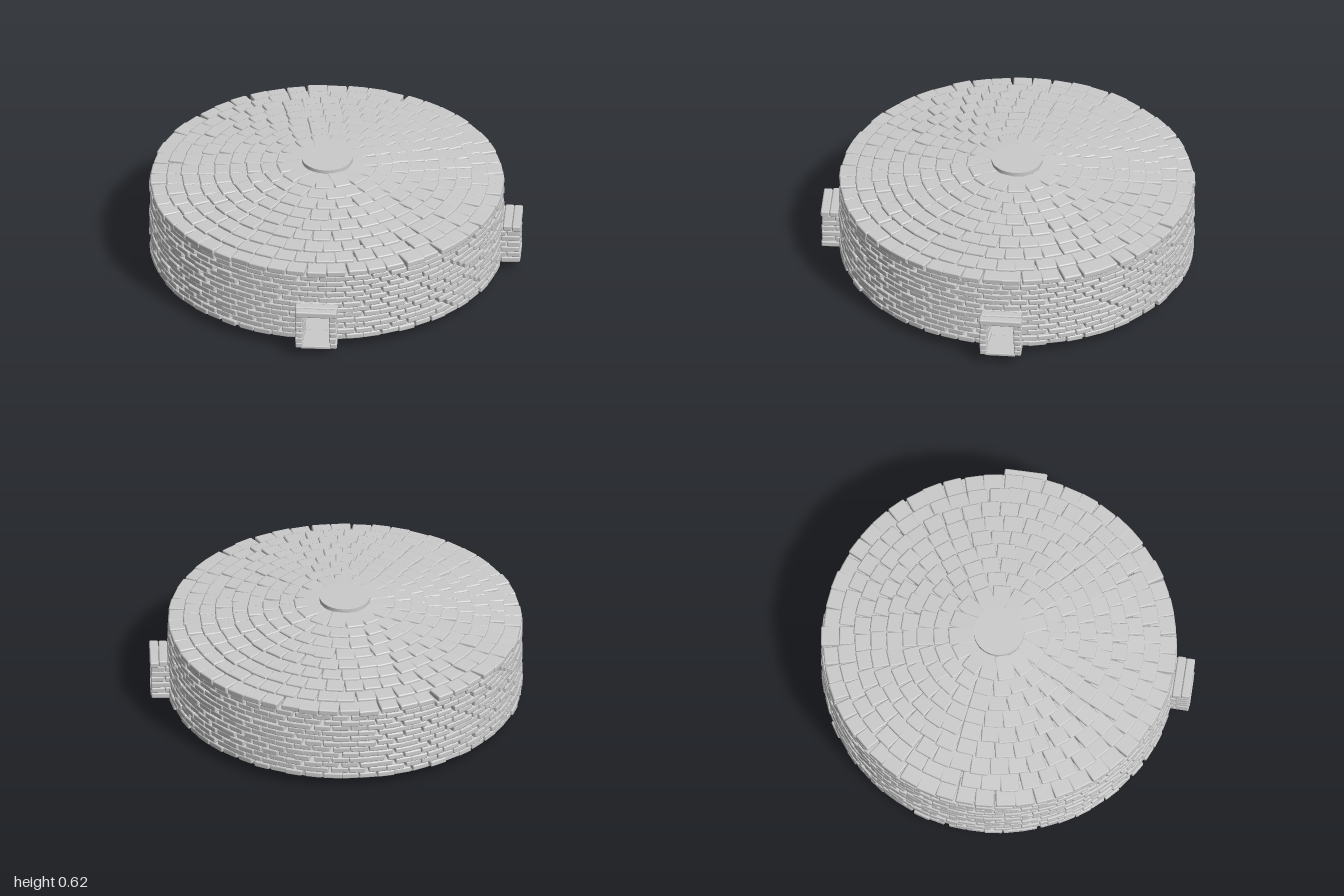
import * as THREE from 'three';
import { mergeGeometries } from 'three/addons/utils/BufferGeometryUtils.js';
import { RoundedBoxGeometry } from 'three/addons/geometries/RoundedBoxGeometry.js';

const RADIUS = 0.95, BASE_Y = 0.06, COURSE = 0.033, WALL_DEPTH = 0.085;
const DOORS = [0, Math.PI / 2];          // angle 0 faces +z
const DOOR_COURSES = 6, DOOR_HALF = 0.07;

export function createModel() {
  const model = new THREE.Group();
  model.name = 'stoneRoundhouse';
  const material = new THREE.MeshStandardMaterial({ color: 0xcccccc });

  let seed = 7;
  const jitter = (amount) => {
    seed = (seed * 16807) % 2147483647;
    return (seed / 2147483647 - 0.5) * 2 * amount;
  };

  const add = (name, geometry, parent = model) => {
    const mesh = new THREE.Mesh(geometry, material);
    mesh.name = name;
    parent.add(mesh);
    return mesh;
  };

  // Worn stone block: w along the wall, h up, d towards the centre
  const stone = (w, h, d, { angle = 0, offset = 0, y, r, twist = 0.02, tilt = 0 }) =>
    new RoundedBoxGeometry(w, h, d, 1, Math.min(w, h, d) * 0.22)
      .rotateX(tilt + jitter(twist))
      .rotateY(jitter(twist))
      .rotateZ(jitter(twist))
      .translate(offset, y, r)
      .rotateY(angle);

  // Circular wall in staggered courses, cut back at the doorways
  const wall = [];
  const count = 60, step = (Math.PI * 2) / count;
  for (let row = 0; row < 12; row++) {
    for (let i = 0; i < count; i++) {
      let angle = (i + (row % 2) / 2 + jitter(0.1)) * step;
      let half = step * (0.47 + jitter(0.04));
      if (row < DOOR_COURSES) {
        for (const door of DOORS) {
          const delta = Math.atan2(Math.sin(angle - door), Math.cos(angle - door));
          const inner = Math.max(Math.abs(delta) - half, DOOR_HALF / RADIUS);
          const outer = Math.abs(delta) + half;
          if (inner > Math.abs(delta) - half) {
            half = (outer - inner) / 2;
            angle = door + Math.sign(delta) * (inner + outer) / 2;
          }
        }
      }
      if (half < 0.008) continue;
      wall.push(stone(half * 2 * RADIUS, COURSE * 0.95, WALL_DEPTH, {
        angle, y: BASE_Y + (row + 0.5) * COURSE, r: RADIUS - WALL_DEPTH / 2 - 0.004 + jitter(0.005),
      }));
    }
  }
  add('wall', mergeGeometries(wall));

  // Corbelled roof: overlapping rings stepping up to the middle
  const roof = [];
  for (let ring = 0; ring < 9; ring++) {
    const outer = RADIUS - ring * 0.085, depth = 0.14;
    const top = 0.488 + ring * 0.0165 - ring * ring * 0.00035;
    const n = Math.round((Math.PI * 2 * outer) / 0.11);
    for (let i = 0; i < n; i++) {
      const pitch = (Math.PI * 2 * (outer - 0.035)) / n;
      roof.push(stone(pitch * (0.97 + jitter(0.06)), 0.035, depth, {
        angle: ((i + ring * 0.37 + jitter(0.07)) / n) * Math.PI * 2,
        y: top - 0.0175 + jitter(0.0015),
        r: outer - depth / 2 - 0.004 + jitter(0.006), twist: 0.015, tilt: 0.03,
      }));
    }
  }
  add('roofStones', mergeGeometries(roof));
  add('capStone', new THREE.CylinderGeometry(0.135, 0.135, 0.026, 40).translate(0, 0.607, 0));

  // Floor slab
  add('floor', new THREE.CylinderGeometry(0.89, 0.89, 0.035, 64).translate(0, 0.0475, 0));

  // Projecting doorways: coursed jambs, a sill and lintel beams
  for (const door of DOORS) {
    const porch = new THREE.Group();
    porch.name = door ? 'leftDoorway' : 'frontDoorway';
    porch.rotation.y = door;
    model.add(porch);
    const jambs = [];
    for (const side of [-1, 1]) {
      for (let row = 0; row < DOOR_COURSES; row++) {
        const split = row % 2 ? 0.965 : 0.935;
        for (const [a, b] of [[0.86, split], [split, 1.04]]) {
          jambs.push(stone(0.038, COURSE * 0.95, b - a - 0.003, {
            offset: side * 0.091 + jitter(0.003),
            y: BASE_Y + (row + 0.5) * COURSE, r: (a + b) / 2 + jitter(0.002),
          }));
        }
      }
    }
    add('jambs', mergeGeometries(jambs), porch);
    const beams = [0.875, 0.925, 0.972, 1.02].map((r, i) =>
      stone(0.225 + jitter(0.006), 0.034, 0.047, { y: 0.273 - (i % 2) * 0.003, r, twist: 0.012 }));
    add('lintels', mergeGeometries(beams), porch);
    add('sill', stone(0.16, 0.016, 0.17, { y: 0.067, r: 0.955, twist: 0 }), porch);
  }

  // Foot stones protruding beneath the floor
  const feet = [];
  for (let i = 0; i < 8; i++) {
    feet.push(new THREE.CylinderGeometry(0.05, 0.028, 0.04, 5)
      .toNonIndexed().scale(1.15, 1, 0.5)
      .rotateZ(jitter(0.2)).rotateY(jitter(0.4))
      .translate(0, 0.026, 0.74)
      .rotateY(((i + 0.5) / 8) * Math.PI * 2));
  }
  const feetGeometry = mergeGeometries(feet);
  feetGeometry.computeVertexNormals();
  add('footStones', feetGeometry);

  // The doorways push the round body off centre
  model.children.forEach((part) => part.position.set(-0.045, 0, -0.045));
  return model;
}
